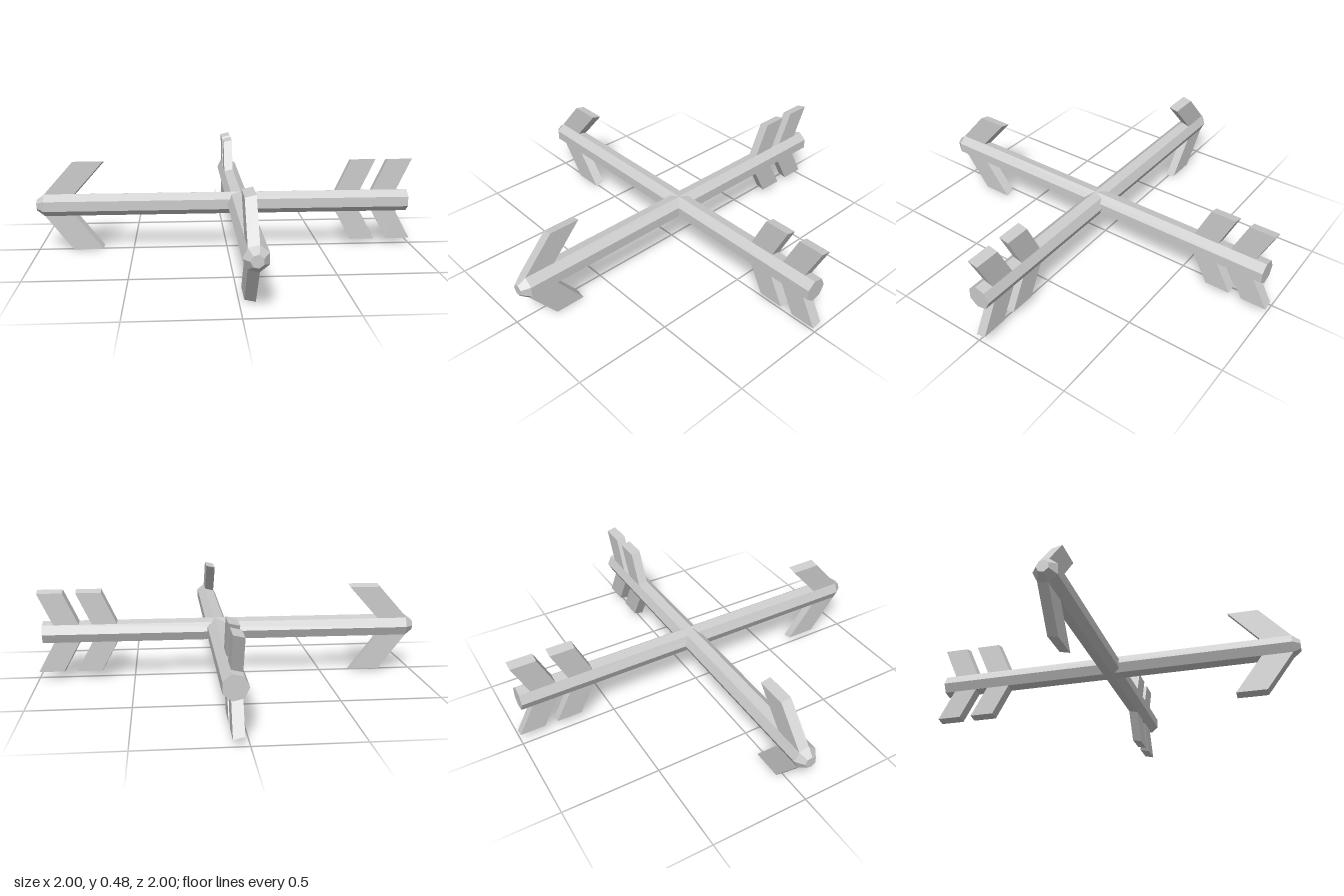
import * as THREE from 'three';

const SIDES = 7;
const R = 0.06;

export function createModel() {
  const material = new THREE.MeshStandardMaterial({ color: 0xcccccc, flatShading: true });

  // Upper shaft facet that the fins grow from: its two edges seen along the shaft
  const step = (Math.PI * 2) / SIDES;
  const edge = (k) => ({ z: -R * Math.cos(k * step), y: R * Math.sin(k * step) });
  const backEdge = edge(1);
  const frontEdge = edge(2);

  function add(parent, name, geometry) {
    const mesh = new THREE.Mesh(geometry, material);
    mesh.name = name;
    parent.add(mesh);
  }

  // Seven-sided bar along x, with a corner pointing to -z
  function bar(x0, x1, rTip, rTail) {
    const g = new THREE.CylinderGeometry(rTip, rTail, x1 - x0, SIDES, 1, false, Math.PI);
    g.rotateZ(Math.PI / 2);
    return g.translate((x0 + x1) / 2, 0, 0);
  }

  // Swept slab pushed out of the facet; side is +1 for up, -1 for down
  function fin(x0, width, sweep, height, side) {
    const g = new THREE.BoxGeometry(1, 1, 1);
    const p = g.attributes.position;
    for (let i = 0; i < p.count; i++) {
      const v = 0.5 + side * p.getY(i);
      const e = p.getZ(i) > 0 ? frontEdge : backEdge;
      p.setXYZ(i, x0 + (p.getX(i) + 0.5) * width + v * sweep, side * (e.y + v * height), e.z);
    }
    g.computeVertexNormals();
    return g;
  }

  // One arrow pointing to -x
  function arrow(name) {
    const group = new THREE.Group();
    group.name = name;
    add(group, 'shaft', bar(-0.96, 0.97, R, R));
    add(group, 'tip', bar(-1, -0.96, 0.03, R));
    for (const side of [1, -1]) {
      const up = side > 0;
      const label = up ? 'upper' : 'lower';
      add(group, label + 'Barb', fin(-0.96, 0.157, up ? 0.155 : 0.143, up ? 0.172 : 0.187, side));
      for (const x of [0.585, 0.782]) {
        add(group, label + 'TailFin', fin(x, 0.13, up ? 0.077 : 0.086, up ? 0.167 : 0.157, side));
      }
    }
    group.position.y = 0.246;
    return group;
  }

  const model = new THREE.Group();
  model.name = 'crossedArrows';
  const sideArrow = arrow('sideArrow');
  const frontArrow = arrow('frontArrow');
  frontArrow.rotation.y = Math.PI / 2;
  frontArrow.position.x = 0.06;
  model.add(sideArrow, frontArrow);
  return model;
}
